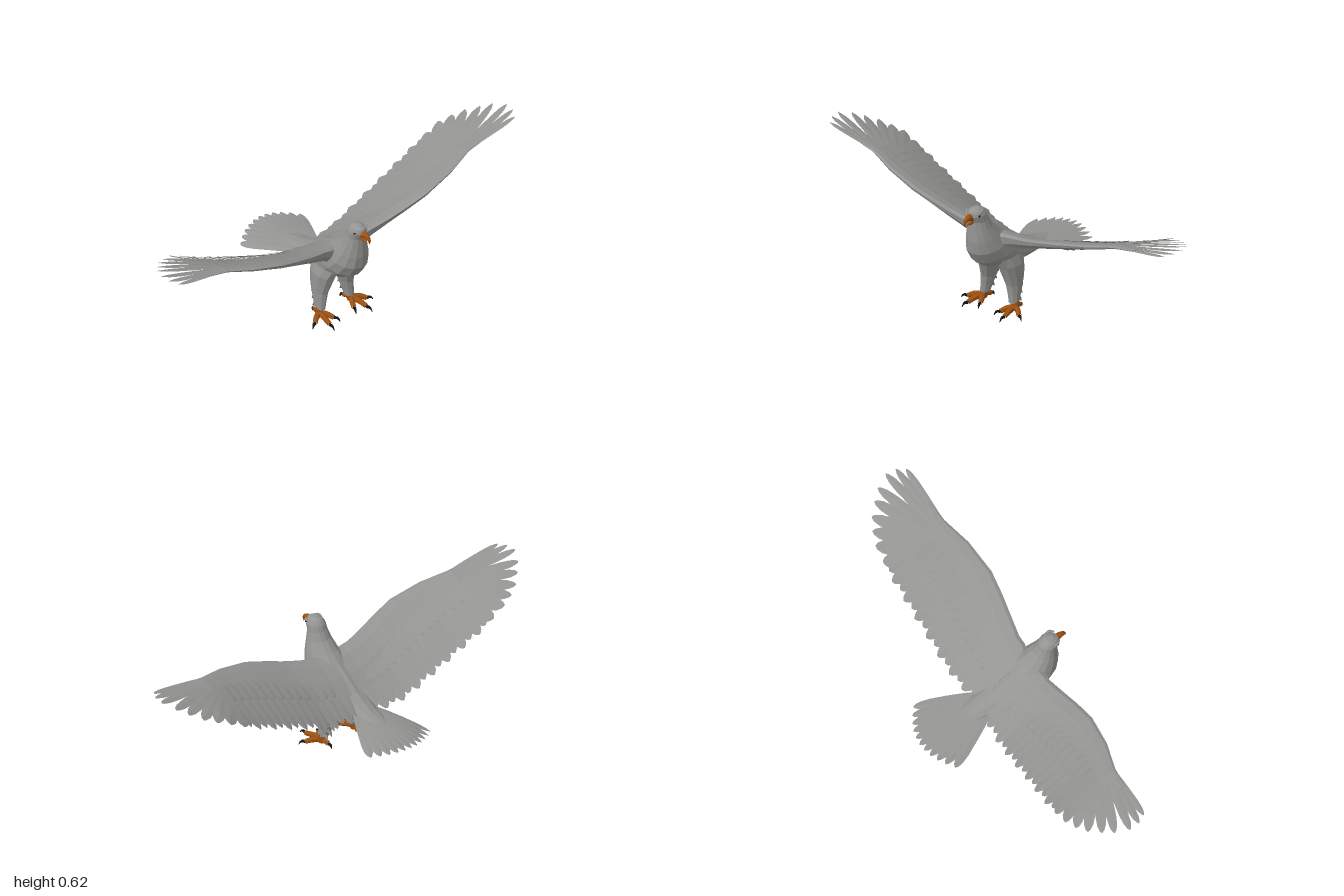
import * as THREE from 'three';

const mat = (name, color, side = THREE.FrontSide) => {
  const m = new THREE.MeshStandardMaterial({ color, side, flatShading: true });
  m.name = name;
  return m;
};

// piecewise linear lookup in a table of [x, value, value...] rows
function look(table, x, k) {
  let i = 1;
  while (i < table.length - 1 && x > table[i][0]) i++;
  const a = table[i - 1], b = table[i];
  const t = THREE.MathUtils.clamp((x - a[0]) / (b[0] - a[0]), 0, 1);
  return a[k] + (b[k] - a[k]) * t;
}

// skin over rows of points; closed rows form a tube with capped ends
function skin(rows, closed) {
  const n = rows[0].length, pos = [], tri = (...p) => p.forEach(q => pos.push(...q));
  for (let i = 0; i < rows.length - 1; i++) {
    for (let j = 0; j < (closed ? n : n - 1); j++) {
      const k = (j + 1) % n;
      tri(rows[i][j], rows[i + 1][j], rows[i][k]);
      tri(rows[i][k], rows[i + 1][j], rows[i + 1][k]);
    }
  }
  if (closed) {
    const s = rows[0], e = rows[rows.length - 1];
    for (let j = 1; j < n - 1; j++) {
      tri(s[0], s[j], s[j + 1]);
      tri(e[0], e[j + 1], e[j]);
    }
  }
  const g = new THREE.BufferGeometry();
  g.setAttribute('position', new THREE.Float32BufferAttribute(pos, 3));
  g.computeVertexNormals();
  return g;
}

// oval rings from [frontZ, frontY, backZ, backY, halfWidth, centreX]
function ovals(sections, sides) {
  return skin(sections.map(([fz, fy, bz, by, w, cx = 0]) =>
    Array.from({ length: sides }, (_, j) => {
      const a = j / sides * Math.PI * 2, c = Math.cos(a) / 2;
      return [cx + Math.sin(a) * w, (fy + by) / 2 + c * (fy - by), (fz + bz) / 2 + c * (fz - bz)];
    })), true);
}

// tube along points whose radius follows a list
function taper(points, radii, sides = 7, steps = 8) {
  const curve = new THREE.CatmullRomCurve3(points.map(p => new THREE.Vector3(...p)));
  const g = new THREE.TubeGeometry(curve, steps, 1, sides), p = g.attributes.position;
  const v = new THREE.Vector3();
  const table = radii.map((r, i) => [i / (radii.length - 1), r]);
  for (let i = 0; i < p.count; i++) {
    const t = Math.floor(i / (sides + 1)) / steps, c = curve.getPointAt(t);
    v.fromBufferAttribute(p, i).sub(c).multiplyScalar(look(table, t, 1)).add(c);
    p.setXYZ(i, v.x, v.y, v.z);
  }
  const flat = g.toNonIndexed();
  flat.computeVertexNormals();
  return flat;
}

// copy on the other side, with corner order restored
function mirrored(geo) {
  const g = geo.clone(), p = g.attributes.position;
  for (let i = 0; i < p.count; i += 3) {
    const c = [0, 2, 1].map(k => [-p.getX(i + k), p.getY(i + k), p.getZ(i + k)]);
    c.forEach((q, k) => p.setXYZ(i + k, ...q));
  }
  g.computeVertexNormals();
  return g;
}

// blade drawn in plan [x, z] and laid on a height function
const vane = [[0, 0.7], [0.25, 0.9], [0.5, 1], [0.75, 1], [0.89, 0.8], [0.97, 0.42], [1, 0.05]];
function feather([bx, bz], [tx, tz], width, height, tilt = 0.003) {
  const len = Math.hypot(tx - bx, tz - bz), nx = -(tz - bz) / len, nz = (tx - bx) / len;
  return skin(vane.map(([t, w]) => [-1, 0, 1].map(s => {
    const x = bx + (tx - bx) * t + nx * w * width * s;
    const z = bz + (tz - bz) * t + nz * w * width * s;
    return [x, height(x, z) + tilt * s + (s ? 0 : 0.002), z];
  })), false);
}

// wing edges: distance from body axis, z, y
const lead = [[0.02, 0.21, 0.4], [0.08, 0.225, 0.412], [0.12, 0.223, 0.42], [0.2, 0.238, 0.44],
  [0.3, 0.256, 0.475], [0.4, 0.268, 0.508], [0.55, 0.25, 0.545], [0.68, 0.21, 0.574], [0.97, 0.19, 0.62]];
const trail = [[0.02, -0.06, 0.248], [0.1, -0.08, 0.244], [0.2, -0.09, 0.26], [0.4, -0.095, 0.348],
  [0.6, -0.1, 0.438], [0.75, -0.1, 0.518], [0.97, 0.03, 0.61]];
// share of the chord covered by the thick arm, its rise above and depth below
const arm = [[0.02, 0.75, 0.02, 0.075], [0.08, 0.72, 0.018, 0.066], [0.14, 0.68, 0.016, 0.048],
  [0.25, 0.6, 0.014, 0.032], [0.45, 0.52, 0.012, 0.02], [0.62, 0.42, 0.009, 0.012], [0.78, 0.2, 0.004, 0.004]];

function wingHeight(x, z) {
  const l = look(lead, x, 1), v = THREE.MathUtils.clamp((l - z) / (l - look(trail, x, 1)), 0, 1.12);
  return THREE.MathUtils.lerp(look(lead, x, 2), look(trail, x, 2), v) +
    0.022 * Math.sin(Math.PI * Math.min(v, 1)) * (1 - x * 0.7);
}

function wingArm() {
  const loop = [[0, 0], [0.08, 0.75], [0.3, 1], [0.65, 0.65], [1, 0.12], [0.7, -0.4], [0.35, -0.9], [0.12, -1], [0.02, -0.55]];
  const stations = [0.02, 0.08, 0.12, 0.16, 0.22, 0.3, 0.4, 0.48, 0.55, 0.62, 0.68, 0.78];
  return skin(stations.map(x => loop.map(([v, h]) => {
    const l = look(lead, x, 1), z = l - (l - look(trail, x, 1)) * v * look(arm, x, 1);
    return [x, wingHeight(x, z) + h * look(arm, x, h > 0 ? 2 : 3), z];
  })), true);
}

function wingFeathers() {
  const out = [];
  // secondaries
  for (let i = 0; i < 15; i++) {
    const x = 0.045 + i * 0.042, base = look(lead, x, 1) * 0.65;
    out.push(feather([x, base], [x + 0.015, look(trail, x, 1) - 0.004 - 0.012 * (i % 2)], 0.031, wingHeight));
  }
  // primaries fanning round the tip
  const tips = [[0.69, -0.108], [0.755, -0.102], [0.81, -0.08], [0.86, -0.05], [0.905, -0.005],
    [0.942, 0.038], [0.972, 0.1], [0.967, 0.15], [0.945, 0.19]];
  tips.forEach((tip, i) => {
    const t = i / 8;
    out.push(feather([0.57 + 0.1 * t, 0.11 + 0.085 * t], tip, 0.032 - 0.016 * t, wingHeight, 0.002));
  });
  // coverts over the arm's rear edge
  for (let i = 0; i < 13; i++) {
    const x = 0.1 + i * 0.043, l = look(lead, x, 1), c = l - look(trail, x, 1);
    out.push(feather([x, l - 0.3 * c], [x + 0.012, l - (0.68 - 0.1 * (i / 12)) * c], 0.028,
      (a, b) => wingHeight(a, b) + 0.006));
  }
  return out;
}

export function createModel() {
  const root = new THREE.Group();
  root.name = 'eagle';
  const plumage = mat('grey plumage', 0x949492, THREE.DoubleSide);
  const horn = mat('orange skin', 0x9c5010);
  const black = mat('black claw', 0x151515);
  const add = (name, geo, m, parent = root) => {
    const mesh = new THREE.Mesh(geo, m);
    mesh.name = name;
    parent.add(mesh);
    return mesh;
  };

  // head, neck and body
  add('body', ovals([
    [0.32, 0.563, 0.287, 0.565, 0.012], [0.34, 0.552, 0.265, 0.555, 0.032],
    [0.345, 0.533, 0.25, 0.537, 0.042], [0.331, 0.5, 0.24, 0.51, 0.045],
    [0.333, 0.45, 0.22, 0.475, 0.056], [0.336, 0.4, 0.175, 0.43, 0.072],
    [0.331, 0.34, 0.115, 0.385, 0.089], [0.3, 0.285, 0.055, 0.345, 0.095],
    [0.25, 0.25, 0, 0.305, 0.091], [0.19, 0.228, -0.05, 0.28, 0.082],
    [0.1, 0.216, -0.1, 0.259, 0.07], [0, 0.215, -0.15, 0.245, 0.06],
    [-0.1, 0.217, -0.19, 0.236, 0.04]], 14), plumage);

  // hooked beak
  add('upperBeak', taper([[0, 0.526, 0.328], [0, 0.532, 0.358], [0, 0.522, 0.377], [0, 0.497, 0.382]],
    [0.019, 0.014, 0.009, 0.001], 8), horn);
  add('lowerBeak', taper([[0, 0.505, 0.32], [0, 0.501, 0.345], [0, 0.498, 0.366]], [0.012, 0.009, 0.002]), horn);

  // fanned tail
  const tail = new THREE.Group();
  tail.name = 'tail';
  root.add(tail);
  for (let i = -5; i <= 5; i++) {
    const a = Math.abs(i), tip = [i * 0.034, -0.386 + 0.0031 * a * a];
    add('tailFeather', feather([i * 0.008, -0.04], tip, 0.024,
      (x, z) => 0.255 + 0.11 * z - 0.87 * x * x - 0.001 * a), plumage, tail);
  }

  for (const side of [1, -1]) {
    const word = side > 0 ? 'left' : 'right';
    const put = (name, geo, m, parent) => add(name, side > 0 ? geo : mirrored(geo), m, parent);
    const limb = name => {
      const g = new THREE.Group();
      g.name = word + name;
      root.add(g);
      return g;
    };

    // the left wing is spread slightly wider
    const wing = limb('Wing');
    if (side > 0) wing.scale.x = 1.06;
    put('wingArm', wingArm(), plumage, wing);
    wingFeathers().forEach(f => put('wingFeather', f, plumage, wing));

    // eye and brow
    const eye = new THREE.SphereGeometry(0.0055, 8, 6).toNonIndexed();
    put('eye', eye.translate(0.036, 0.54, 0.321), black);
    put('brow', taper([[0.037, 0.547, 0.3], [0.035, 0.548, 0.322], [0.022, 0.545, 0.34]],
      [0.002, 0.006, 0.003], 6), plumage);

    // feathered leg
    const leg = limb('Leg');
    put('thigh', ovals([[0.245, 0.3, 0.055, 0.3, 0.036, 0.05], [0.207, 0.235, 0.06, 0.235, 0.044, 0.061],
      [0.188, 0.185, 0.063, 0.185, 0.039, 0.066], [0.171, 0.135, 0.077, 0.135, 0.031, 0.073],
      [0.167, 0.09, 0.095, 0.09, 0.026, 0.079], [0.166, 0.05, 0.112, 0.05, 0.022, 0.084]], 10), plumage, leg);
    for (let i = 0; i < 8; i++) {
      const y = 0.19 - i * 0.017, z = 0.072 + i * 0.005, x = 0.066 + i * 0.0023 + (i % 2 ? 0.008 : -0.008);
      put('legTuft', taper([[x, y, z + 0.015], [x, y - 0.014, z], [x, y - 0.032, z - 0.012]],
        [0.012, 0.009, 0.001], 4, 3), plumage, leg);
    }

    // foot: shank, then toes as knuckle points with a claw tip
    put('shank', taper([[0.086, 0.065, 0.14], [0.09, 0.04, 0.14], [0.092, 0.016, 0.14]],
      [0.018, 0.02, 0.017], 8), horn, leg);
    const toes = [
      [[0.1, 0.029, 0.19], [0.106, 0.02, 0.235], [0.11, 0.008, 0.27]],
      [[0.128, 0.028, 0.165], [0.15, 0.018, 0.183], [0.175, 0.006, 0.198]],
      [[0.072, 0.028, 0.178], [0.058, 0.019, 0.205], [0.045, 0.007, 0.235]],
      [[0.088, 0.028, 0.118], [0.084, 0.021, 0.1], [0.08, 0.003, 0.081]]];
    for (const [mid, end, tip] of toes) {
      put('toe', taper([[0.092, 0.03, 0.145], mid, end], [0.0145, 0.0135, 0.011]), horn, leg);
      const arch = [0, 1, 2].map(k => end[k] * 0.45 + tip[k] * 0.55 + (k === 1 ? 0.01 : 0));
      put('claw', taper([end, arch, tip], [0.008, 0.006, 0.0008], 6, 5), black, leg);
    }
  }

  root.position.x = -0.03;
  return root;
}
